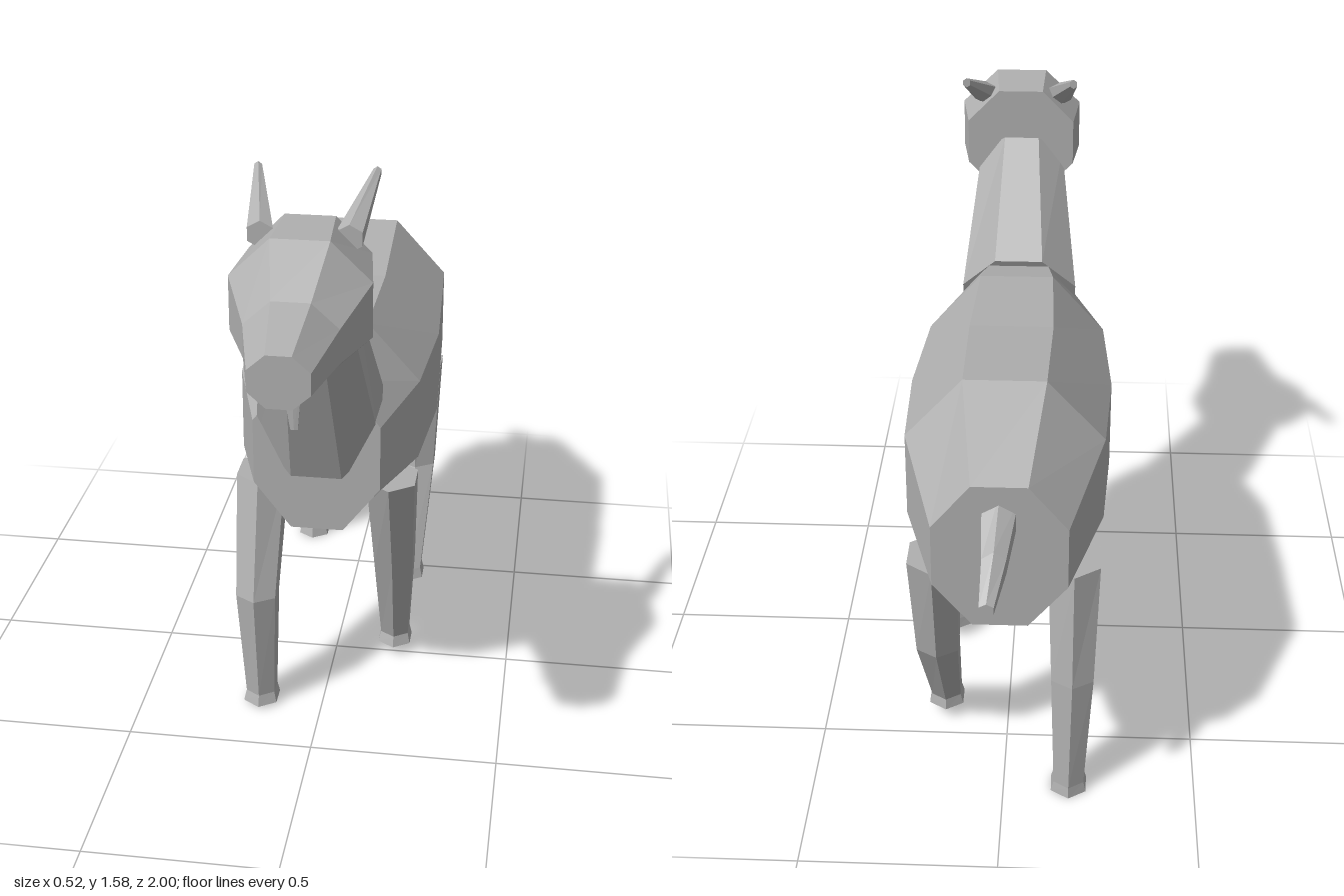
import * as THREE from 'three';

// Closed faceted loft. Each ring is { c: centre, u: half-axis, v: half-axis };
// u x v must point along the path so that faces look outward.
function loft(rings, sides, turn, scale = 1) {
  const at = (ring, i) => {
    const a = turn + (i / sides) * Math.PI * 2;
    const cu = Math.cos(a) * scale, sv = Math.sin(a) * scale;
    return ring.c.map((c, k) => c + ring.u[k] * cu + ring.v[k] * sv);
  };
  const pos = [];
  const tri = (...pts) => pts.forEach((p) => pos.push(...p));
  for (let r = 0; r < rings.length - 1; r++) {
    for (let i = 0; i < sides; i++) {
      const a = at(rings[r], i), b = at(rings[r], i + 1);
      const c = at(rings[r + 1], i + 1), d = at(rings[r + 1], i);
      tri(a, b, c);
      tri(a, c, d);
    }
  }
  const first = rings[0], last = rings[rings.length - 1];
  for (let i = 0; i < sides; i++) {
    tri(first.c, at(first, i + 1), at(first, i));
    tri(last.c, at(last, i), at(last, i + 1));
  }
  const geometry = new THREE.BufferGeometry();
  geometry.setAttribute('position', new THREE.Float32BufferAttribute(pos, 3));
  geometry.computeVertexNormals();
  return geometry;
}

// Ring upright, facing z / ring lying flat, facing down
const upright = ([x, y, z, w, h]) => ({ c: [x, y, z], u: [w, 0, 0], v: [0, h, 0] });
const level = ([x, y, z, w, d]) => ({ c: [x, y, z], u: [w, 0, 0], v: [0, 0, d] });

// Octagon with flat top, bottom and sides
const OCT = [8, Math.PI / 8, 1 / Math.cos(Math.PI / 8)];
const HEX = [6, Math.PI / 2];

export function createModel() {
  const model = new THREE.Group();
  const grey = new THREE.MeshStandardMaterial({ color: 0xb0b0b0 });
  grey.name = 'plain grey';
  const add = (name, geometry) => {
    const mesh = new THREE.Mesh(geometry, grey);
    mesh.name = name;
    model.add(mesh);
  };

  // Barrel body, rump to chest
  add('body', loft([
    [0, 0.815, -0.83, 0.162, 0.195],
    [0, 0.87, -0.56, 0.245, 0.27],
    [0, 0.818, -0.2, 0.262, 0.283],
    [0, 0.82, 0.12, 0.24, 0.27],
    [0, 0.82, 0.37, 0.165, 0.215],
  ].map(upright), ...OCT));

  // Neck leaning forward from the chest into the head
  add('neck', loft([
    { c: [0, 0.92, 0.308], u: [0.16, 0, 0], v: [0, 0.16, -0.07] },
    { c: [0, 1.28, 0.51], u: [0.115, 0, 0], v: [0, 0.085, -0.055] },
  ], ...OCT));

  // Head, turned very slightly, tapering to the muzzle
  add('head', loft([
    [0.003, 1.35, 0.46, 0.148, 0.15],
    [0.007, 1.34, 0.64, 0.168, 0.162],
    [0.01, 1.31, 0.79, 0.11, 0.1],
    [0.018, 1.31, 1.0, 0.07, 0.062],
  ].map(upright), ...OCT));

  // Swept-back horns
  for (const side of [-1, 1]) {
    add(side > 0 ? 'leftHorn' : 'rightHorn', loft([
      [side * 0.145, 1.57, 0.325, 0.011, 0.013],
      [side * 0.105, 1.47, 0.53, 0.036, 0.034],
    ].map(upright), ...HEX));
  }

  // Thin beard
  add('beard', loft([
    [0.01, 1.24, 0.793, 0.03, 0.006],
    [0.015, 1.1, 0.793, 0.01, 0.003],
  ].map(level), ...HEX));

  // Drooping tail, tip first
  add('tail', loft([
    [0.022, 0.787, -1.0, 0.02, 0.018],
    [0.008, 0.86, -0.93, 0.033, 0.04],
    [0, 0.93, -0.8, 0.05, 0.05],
  ].map(upright), ...HEX));

  // Walking legs: z of hip, knee and foot, and height of the sole
  const legs = [
    ['leftFrontLeg', 1, 0.172, 0.075, -0.025, 0.035],
    ['rightFrontLeg', -1, 0.172, 0.295, 0.288, 0.01],
    ['leftBackLeg', 1, -0.61, -0.56, -0.395, 0.04],
    ['rightBackLeg', -1, -0.61, -0.672, -0.69, 0],
  ];
  for (const [name, side, hip, knee, foot, sole] of legs) {
    add(name, loft([
      [side * 0.176, 0.67, hip, 0.075, 0.093],
      [side * 0.176, 0.355, knee, 0.062, 0.066],
      [side * 0.171, sole + 0.03, foot, 0.045, 0.052],
      [side * 0.171, sole, foot + 0.003, 0.053, 0.06],
    ].map(level), ...HEX));
  }

  return model;
}
